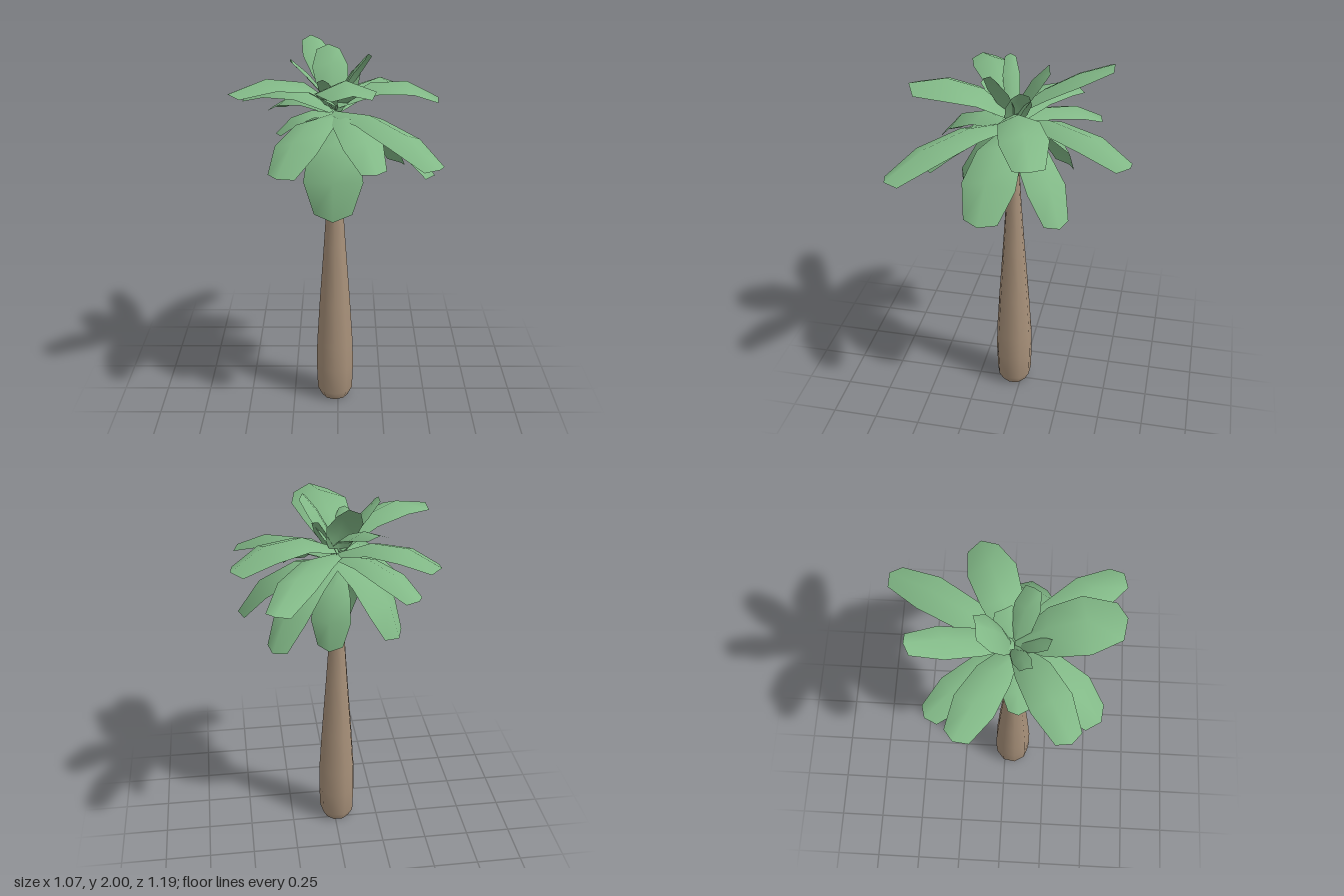
import * as THREE from 'three';

const CX = -0.017, CZ = 0.045; // trunk axis

const leafMaterial = new THREE.MeshStandardMaterial({ color: 0x82b987, side: THREE.DoubleSide });
const trunkMaterial = new THREE.MeshStandardMaterial({ color: 0xa8917a });

// Frond outline: [distance along the spine, fraction of full width]
const OUTLINE = [[0, 0.35], [0.33, 0.85], [0.68, 1], [1, 0.64]];
const ACROSS = [-1, 0, 1];

// Folded blade swept along a curve from the crown to the tip
function makeFrond([tx, ty, tz, baseY, bow, width]) {
  const tip = new THREE.Vector3(tx, ty, tz);
  const out = new THREE.Vector3(tx - CX, 0, tz - CZ).normalize();
  const side = new THREE.Vector3(out.z, 0, -out.x);
  const base = new THREE.Vector3(CX, baseY, CZ);
  const chord = tip.clone().sub(base).normalize();
  const bend = chord.clone().cross(side); // points up and outward
  const control = base.clone().lerp(tip, 0.5).addScaledVector(bend, 2 * bow);
  const spine = new THREE.QuadraticBezierCurve3(base, control, tip);

  const positions = [], indices = [];
  const n = ACROSS.length;
  OUTLINE.forEach(([t, w], row) => {
    const normal = spine.getTangent(t).cross(side).normalize();
    for (const a of ACROSS) {
      const tt = t === 1 ? 1 - 0.03 * a * a : t; // slightly pointed tip
      const p = spine.getPoint(tt)
        .addScaledVector(side, a * w * width / 2)
        .addScaledVector(normal, -0.2 * width * w * a * a);
      positions.push(p.x, p.y, p.z);
    }
    if (row === 0) return;
    for (let i = 0; i < n - 1; i++) {
      const a = (row - 1) * n + i, b = a + 1, c = a + n, d = c + 1;
      indices.push(a, b, c, b, d, c);
    }
  });
  const geometry = new THREE.BufferGeometry();
  geometry.setAttribute('position', new THREE.Float32BufferAttribute(positions, 3));
  geometry.setIndex(indices);
  geometry.computeVertexNormals();
  return new THREE.Mesh(geometry, leafMaterial);
}

// Each row: tip x, y, z, height at the crown, bow of the spine, width
const FRONDS = {
  upperFrond: [
    [0.35, 1.685, -0.59, 1.70, 0.09, 0.20],
    [-0.15, 1.99, -0.445, 1.75, 0.04, 0.17],
    [0.535, 1.715, -0.15, 1.73, 0.11, 0.245],
    [0.07, 1.895, 0.56, 1.74, 0.095, 0.30],
    [-0.53, 1.845, 0.325, 1.73, 0.105, 0.21],
    [-0.505, 1.705, -0.215, 1.70, 0.09, 0.215],
  ],
  middleFrond: [
    [0.48, 1.55, 0.58, 1.69, 0.085, 0.22],
    [-0.365, 1.605, -0.365, 1.69, 0.075, 0.19],
    [-0.295, 1.47, 0.485, 1.68, 0.095, 0.25],
    [0.19, 1.49, 0.48, 1.68, 0.09, 0.22],
    [-0.32, 1.58, 0.08, 1.68, 0.06, 0.15],
  ],
  lowerFrond: [
    [0.505, 1.365, 0.115, 1.67, 0.11, 0.28],
    [-0.025, 1.18, 0.32, 1.67, 0.125, 0.305],
    [0.35, 1.31, -0.265, 1.67, 0.10, 0.22],
    [-0.305, 1.32, -0.21, 1.67, 0.10, 0.25],
    [0.05, 1.235, -0.155, 1.65, 0.085, 0.21],
  ],
  crownFrond: [
    [-0.05, 2.0, -0.13, 1.70, 0.035, 0.19],
    [0.15, 2.0, 0.12, 1.70, 0.025, 0.13],
    [-0.235, 1.97, 0.105, 1.70, 0.02, 0.09],
    [-0.075, 1.89, 0.21, 1.70, 0.02, 0.09],
    [0.085, 1.895, -0.01, 1.68, 0.01, 0.14],
  ],
};

export function createModel() {
  const model = new THREE.Group();
  model.name = 'palmTree';

  // Tapered trunk with a swollen foot, closed by a flat base
  const profile = [[0.075, 0], [0.1, 0.05], [0.105, 0.2], [0.102, 0.35], [0.086, 0.6],
    [0.06, 0.95], [0.043, 1.2], [0.03, 1.45], [0.022, 1.66], [0, 1.67]];
  const trunk = new THREE.Mesh(
    new THREE.LatheGeometry(profile.map(([r, y]) => new THREE.Vector2(r, y)), 9), trunkMaterial);
  trunk.name = 'trunk';
  trunk.position.set(CX, 0, CZ);
  const foot = new THREE.Mesh(new THREE.CircleGeometry(0.075, 9, Math.PI / 2), trunkMaterial);
  foot.name = 'trunkBase';
  foot.rotation.x = Math.PI / 2;
  trunk.add(foot);
  model.add(trunk);

  // Crown of fronds, from the outer tiers to the upright young leaves
  const crown = new THREE.Group();
  crown.name = 'crown';
  for (const [name, rows] of Object.entries(FRONDS)) {
    rows.forEach((row, i) => {
      const frond = makeFrond(row);
      frond.name = name + (i + 1);
      crown.add(frond);
    });
  }
  model.add(crown);
  return model;
}
